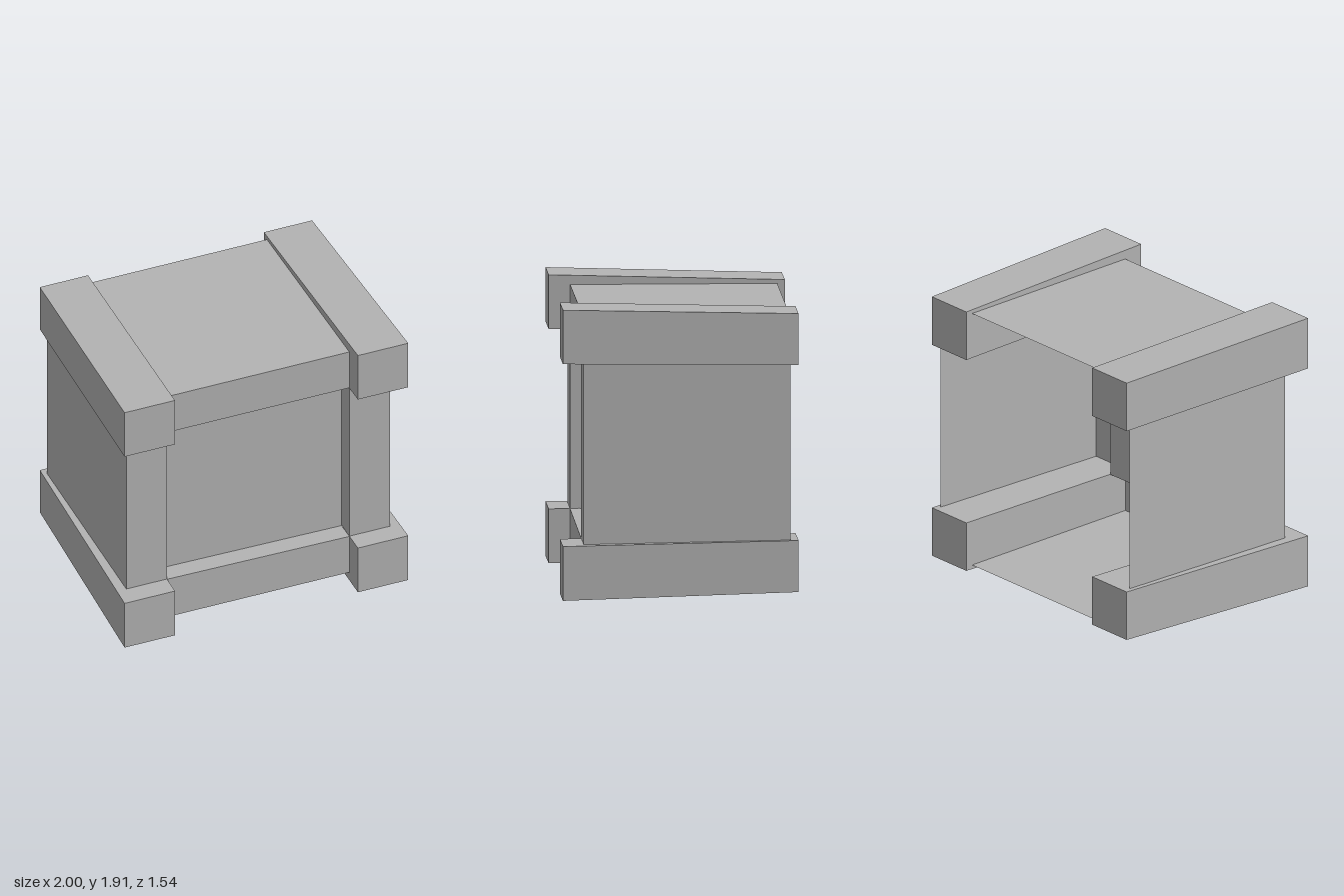
import * as THREE from 'three';

export function createModel() {
  const crate = new THREE.Group();
  crate.name = 'crate';
  const grey = new THREE.MeshStandardMaterial({ color: 0xb3b3b3, side: THREE.DoubleSide });
  grey.name = 'grey';

  function add(name, geometry) {
    const mesh = new THREE.Mesh(geometry, grey);
    mesh.name = name;
    crate.add(mesh);
  }

  // Flat sheet through four corners, counter-clockwise from outside
  function sheet(name, a, b, c, d) {
    const g = new THREE.BufferGeometry();
    g.setAttribute('position', new THREE.Float32BufferAttribute([a, b, c, a, c, d].flat(), 3));
    g.computeVertexNormals();
    add(name, g);
  }

  // Corner beam running front to back; front and back are [inner x, outer x, low y, high y]
  function beam(name, side, front, back) {
    const g = new THREE.BoxGeometry(1, 1, 1.54);
    const p = g.attributes.position;
    for (let i = 0; i < p.count; i++) {
      const [inner, outer, low, high] = p.getZ(i) > 0 ? front : back;
      const x = p.getX(i) * side > 0 ? outer : inner;
      p.setXY(i, x * side, p.getY(i) > 0 ? high : low);
    }
    const flat = g.toNonIndexed();
    flat.computeVertexNormals();
    add(name, flat);
  }

  const inX = 0.643, outX = 0.93;           // post edges
  const frontZ = 0.63, panelZ = 0.5, backZ = -0.72;
  const topY = 1.85, floorY = 0.07, upperY = 1.56;
  const lowerY = { '-1': 0.375, '1': 0.36 }; // lower rail edge is slightly tilted

  // Beams, sides and posts, mirrored
  for (const s of [-1, 1]) {
    const label = s > 0 ? 'left' : 'right';
    const low = lowerY[s];
    beam(label + 'TopBeam', s, [0.645, 1, 1.56, 1.915], [0.62, 0.96, 1.535, 1.875]);
    beam(label + 'BottomBeam', s,
      [0.645, 1, low - 0.357, low], [0.62, 0.96, low - 0.317, low + 0.022]);

    const near = s > 0 ? frontZ : backZ, far = s > 0 ? backZ : frontZ;
    sheet(label + 'SideWall', [s * outX, low, near], [s * outX, low, far],
      [s * outX, upperY, far], [s * outX, upperY, near]);

    const [x0, x1] = s > 0 ? [inX, outX] : [-outX, -inX];
    sheet(label + 'Post', [x0, low, frontZ], [x1, low, frontZ],
      [x1, upperY, frontZ], [x0, upperY, frontZ]);

    const [z0, z1] = s > 0 ? [panelZ, frontZ] : [frontZ, panelZ];
    sheet(label + 'PostReturn', [s * inX, low, z0], [s * inX, low, z1],
      [s * inX, upperY, z1], [s * inX, upperY, z0]);
  }

  // Top, floor and recessed front panel; the back is open
  const L = lowerY[-1], R = lowerY[1];
  sheet('top', [-inX, topY, frontZ], [inX, topY, frontZ], [inX, topY, backZ], [-inX, topY, backZ]);
  sheet('floor', [-inX, floorY, backZ], [inX, floorY, backZ], [inX, floorY, frontZ], [-inX, floorY, frontZ]);
  sheet('frontPanel', [-inX, L, panelZ], [inX, R, panelZ], [inX, upperY, panelZ], [-inX, upperY, panelZ]);

  // Front rails with their ledges
  sheet('topRail', [-inX, upperY, frontZ], [inX, upperY, frontZ], [inX, topY, frontZ], [-inX, topY, frontZ]);
  sheet('topLedge', [-inX, upperY, panelZ], [inX, upperY, panelZ], [inX, upperY, frontZ], [-inX, upperY, frontZ]);
  sheet('bottomRail', [-inX, floorY, frontZ], [inX, floorY, frontZ], [inX, R, frontZ], [-inX, L, frontZ]);
  sheet('bottomLedge', [-inX, L, frontZ], [inX, R, frontZ], [inX, R, panelZ], [-inX, L, panelZ]);

  return crate;
}
